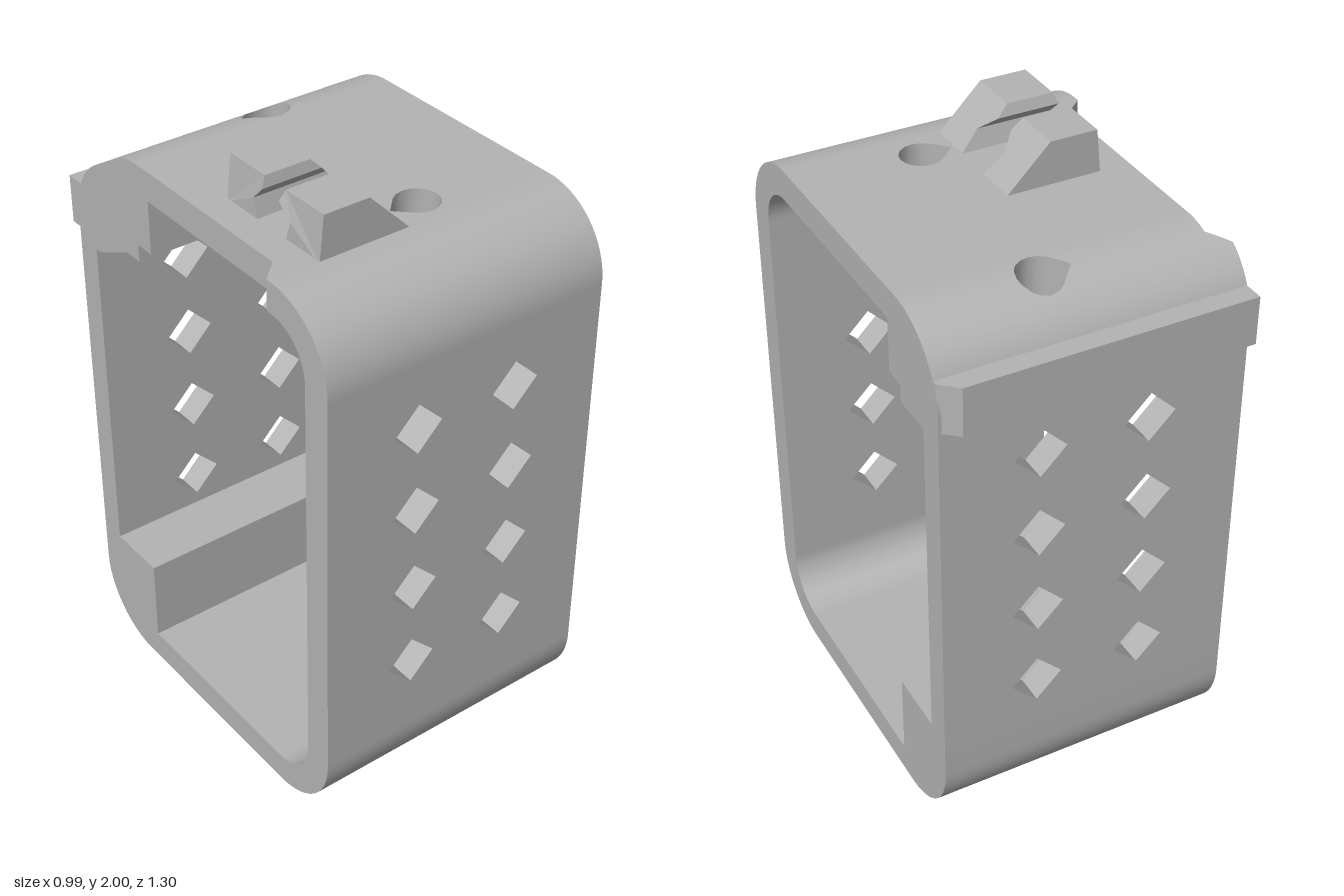
import * as THREE from 'three';
import { toCreasedNormals } from 'three/addons/utils/BufferGeometryUtils.js';

const HALF = 0.495;          // half width of the sleeve
const R = 0.25;              // outer corner radius
const BACK = -0.61, FRONT = 0.65, TOP = 1.86, WALL = 0.1;
const EPS = 1e-5;

// Height lost to the rounded back corner at depth z
const cornerDrop = (z) => {
  const d = Math.min(R, Math.max(0, BACK + R - z));
  return R - Math.sqrt(R * R - d * d);
};
const arcDepths = Array.from({ length: 13 }, (_, i) => BACK + R - R * Math.sin((i / 12) * Math.PI / 2));

// Reach of a teardrop hole at offset dz: round on one side, pointed on the other
const HOLE = 0.07, HOLE_Z = [-0.43, 0.295];
const holeSpan = (z) => {
  const dz = Math.min(...HOLE_Z.map((h) => Math.abs(z - h)));
  if (dz >= HOLE - EPS) return [0, 0];
  const round = Math.sqrt(HOLE * HOLE - dz * dz);
  return [round, dz < HOLE / Math.SQRT2 ? HOLE * Math.SQRT2 - dz : round];
};
const holeDepths = HOLE_Z.flatMap((h) =>
  Array.from({ length: 9 }, (_, i) => h - HOLE * Math.cos((i / 8) * Math.PI)));

// Solid swept along z; its floor, roof and x spans are functions of z
function slab(depths, floor, roof, spans) {
  const zs = [...new Set(depths)].sort((a, b) => a - b);
  const pos = [];
  const quad = (a, b, c, d) => pos.push(...a, ...b, ...c, ...a, ...c, ...d);
  const rows = zs.map((z) => spans(z).map(([x0, x1]) => ({
    b0: [x0, floor(z), z], t0: [x0, roof(z), z], b1: [x1, floor(z), z], t1: [x1, roof(z), z],
  })));
  const gap = (row) => row.length > 1 && row[1].b0[0] - row[0].b1[0] > EPS;
  for (let i = 0; i + 1 < rows.length; i++) {
    const open = gap(rows[i]) || gap(rows[i + 1]);
    rows[i].forEach((p, k) => {
      const q = rows[i + 1][k], last = k === rows[i].length - 1;
      quad(p.t0, q.t0, q.t1, p.t1);
      quad(p.b0, p.b1, q.b1, q.b0);
      if (k === 0 || open) quad(p.b0, q.b0, q.t0, p.t0);
      if (last || open) quad(p.b1, p.t1, q.t1, q.b1);
    });
  }
  rows[0].forEach((p) => quad(p.b0, p.t0, p.t1, p.b1));
  rows[rows.length - 1].forEach((p) => quad(p.b0, p.b1, p.t1, p.t0));
  const g = new THREE.BufferGeometry();
  g.setAttribute('position', new THREE.Float32BufferAttribute(pos, 3));
  return toCreasedNormals(g, 0.5);
}

// Extrude a (z, y) outline along x
function alongX(shape, x0, x1) {
  const g = new THREE.ExtrudeGeometry(shape, { depth: x1 - x0, bevelEnabled: false, curveSegments: 14 });
  return g.rotateY(-Math.PI / 2).translate(x1, 0, 0);
}
const outline = (pts) => new THREE.Shape(pts.map(([a, b]) => new THREE.Vector2(a, b)));

// Upright wall with a grid of diamond holes
function wall(y0, y1, z0, z1) {
  const shape = outline([[-HALF, y0], [HALF, y0], [HALF, y1], [-HALF, y1]]);
  const d = 0.085;
  for (const x of [-0.178, 0.178]) {
    for (let i = 0; i < 4; i++) {
      const y = 0.515 + i * 0.29;
      shape.holes.push(new THREE.Path([[x - d, y], [x, y + d], [x + d, y], [x, y - d]]
        .map(([a, b]) => new THREE.Vector2(a, b))));
    }
  }
  return new THREE.ExtrudeGeometry(shape, { depth: z1 - z0, bevelEnabled: false }).translate(0, 0, z0);
}

export function createModel() {
  const group = new THREE.Group();
  const grey = new THREE.MeshStandardMaterial({ color: 0xb3b3b3 });
  grey.name = 'grey plastic';
  const add = (name, geometry) => {
    const mesh = new THREE.Mesh(geometry, grey);
    mesh.name = name;
    group.add(mesh);
  };

  // Top: notched on one edge, two holes, stepped rail under the back corner
  const notch = (z) => {
    const ramp = Math.min((z + 0.5) / 0.05, (0.38 - z) / 0.06);
    return -HALF + 0.065 * Math.min(1, Math.max(0, ramp));
  };
  const railFloor = (z) => (z < -0.38 ? 1.52 : z < -0.31 ? 1.58 : TOP - WALL);
  const steps = [-0.38, -0.31].flatMap((z) => [z - EPS, z + EPS]);
  add('topWall', slab(
    [...arcDepths, ...holeDepths, ...steps, -0.5, -0.45, 0.32, 0.38, 0.4],
    railFloor, (z) => TOP - cornerDrop(z),
    (z) => {
      const [round, tip] = holeSpan(z);
      return [[notch(z), 0.09 - tip], [0.09 + round, HALF]];
    }));

  // Bottom with two holes
  add('bottomWall', slab(
    [...arcDepths.filter((z) => z > -0.56), -0.56, ...holeDepths, 0.4],
    cornerDrop, () => WALL,
    (z) => {
      const [round, tip] = holeSpan(z);
      return [[-HALF, -0.08 - round], [-0.08 + tip, HALF]];
    }));

  // Solid block filling the lower back corner
  add('lowerBlock', slab(
    [...arcDepths, -0.56, -0.31],
    (z) => Math.max(WALL, cornerDrop(z)), () => 0.39, () => [[-HALF, HALF]]));

  // Front and back walls
  add('frontWall', wall(R, TOP - R, FRONT - WALL, FRONT));
  add('backWall', wall(0.39, 1.52, BACK, BACK + WALL - 0.01));

  // Rounded front corners
  for (const [name, y, a] of [['upperFrontCorner', TOP - R, 0], ['lowerFrontCorner', R, -Math.PI / 2]]) {
    const s = new THREE.Shape();
    s.absarc(FRONT - R, y, R, a, a + Math.PI / 2, false);
    s.absarc(FRONT - R, y, R - WALL, a + Math.PI / 2, a, true);
    add(name, toCreasedNormals(alongX(s, -HALF, HALF), 0.5));
  }

  // Lip across the upper back, chamfered at one end
  const lip = outline([[-HALF, 0.57], [HALF, 0.57], [HALF, 0.6], [0.44, 0.65], [-HALF, 0.65]]);
  add('backLip', new THREE.ExtrudeGeometry(lip, { depth: 0.16, bevelEnabled: false })
    .rotateX(-Math.PI / 2).translate(0, 1.56, 0));

  // Pair of hooked clips with one sloping end
  const clips = {
    frontClip: [[0.395, 1.85], [0.395, 2], [0.225, 2], [0.212, 1.965], [0.262, 1.92], [0.24, 1.85]],
    rearClip: [[-0.04, 1.85], [0.11, 1.85], [0.09, 1.92], [0.133, 1.965], [0.125, 2], [-0.04, 2]],
  };
  for (const [name, pts] of Object.entries(clips)) {
    const g = alongX(outline(pts), -0.33, -0.02);
    const p = g.attributes.position;
    for (let i = 0; i < p.count; i++) {
      const rise = p.getY(i) - TOP;
      p.setX(i, p.getX(i) > -0.1 ? -0.02 - rise : -0.33 + Math.max(0, rise - 0.11) * 0.5);
    }
    g.computeVertexNormals();
    add(name, g);
  }
  return group;
}
